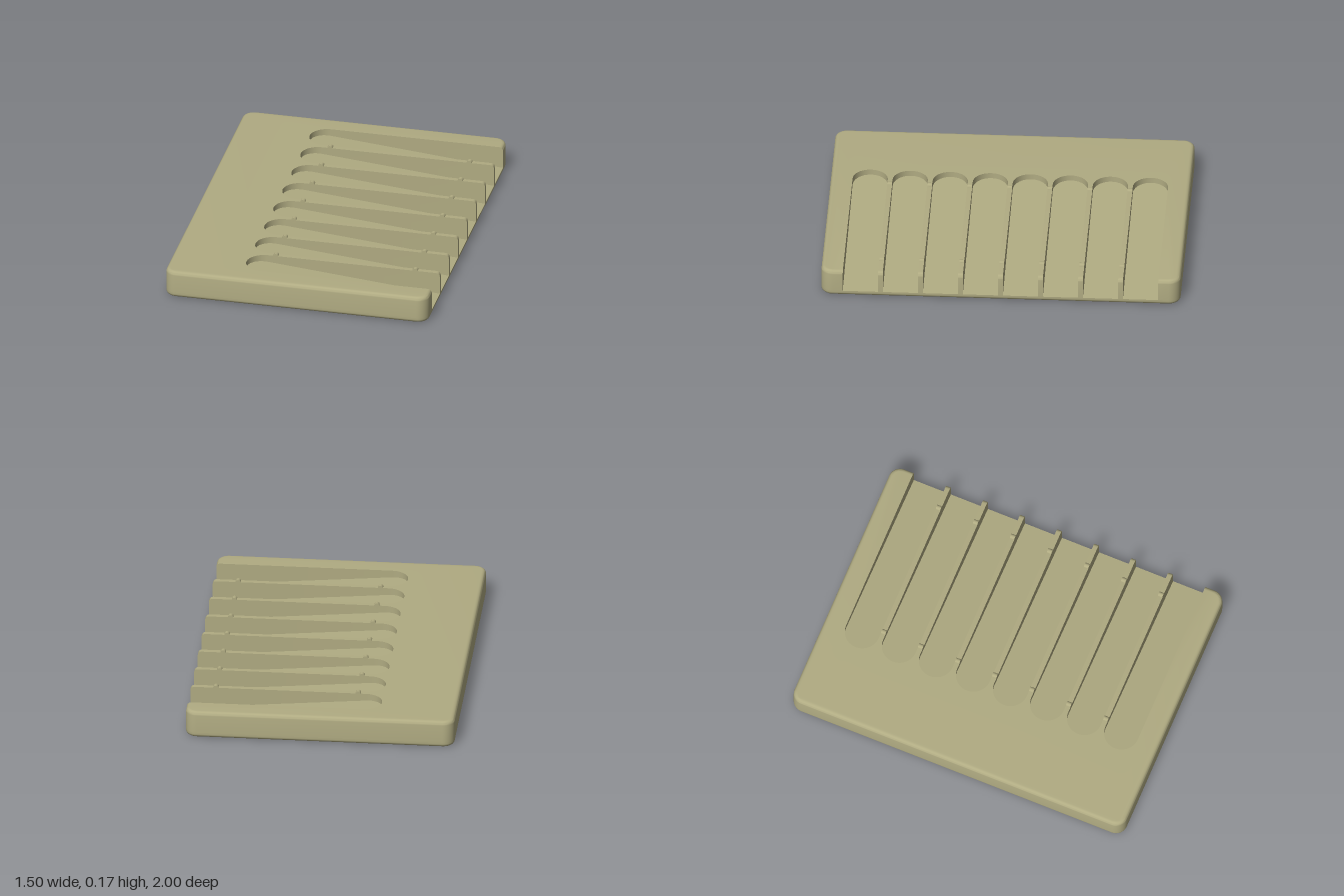
import * as THREE from 'three';
import { toCreasedNormals } from 'three/addons/utils/BufferGeometryUtils.js';

const HX = 0.75, HZ = 1, H = 0.157;       // half sizes and height of the slab
const CORNER = 0.065, FILLET = 0.022;     // plan corner radius, edge rounding
const SLOTS = 8, PITCH = 0.2229, SLOT_R = 0.098, SLOT_X = -0.232;
const LIP = 0.03, SLOPE = 0.0875;         // floor height at the open end, floor slope
const floorY = x => LIP + SLOPE * (HX - x);
const slotZ = i => (i - (SLOTS - 1) / 2) * PITCH;

const material = new THREE.MeshStandardMaterial({ color: 0xb0ab82 });

function arc(cx, cy, r, from, to, n) {
  return Array.from({ length: n + 1 }, (_, i) => {
    const a = (from + (to - from) * i / n) * Math.PI / 180;
    return new THREE.Vector2(cx + r * Math.cos(a), cy + r * Math.sin(a));
  });
}

// Outline of one slot, open on the +x side
function slotPoints(i, openX) {
  const c = slotZ(i);
  return [
    new THREE.Vector2(openX, c - SLOT_R),
    ...arc(SLOT_X, c, SLOT_R, 270, 90, 20),
    new THREE.Vector2(openX, c + SLOT_R),
  ];
}

// Rounded rectangle in plan, shrunk by inset, with or without the slots cut in
function outline(inset, slotted) {
  const r = CORNER - inset, x = HX - CORNER, z = HZ - CORNER;
  const pts = arc(x, -z, r, -90, 0, 8);
  if (slotted) for (let i = 0; i < SLOTS; i++) pts.push(...slotPoints(i, HX - inset));
  return [...pts, ...arc(x, z, r, 0, 90, 8), ...arc(-x, z, r, 90, 180, 8), ...arc(-x, -z, r, 180, 270, 8)];
}

// Joins stacked outlines with walls and closes the bottom and/or top
function loft(layers, capBottom, capTop) {
  const pos = [], index = [], n = layers[0].pts.length;
  for (const { pts, y } of layers) for (const p of pts) pos.push(p.x, y, -p.y);
  for (let k = 0; k < layers.length - 1; k++) {
    for (let i = 0; i < n; i++) {
      const j = (i + 1) % n, a = k * n, b = a + n;
      index.push(a + i, a + j, b + j, a + i, b + j, b + i);
    }
  }
  const cap = k => THREE.ShapeUtils.triangulateShape(layers[k].pts, []).map(f => f.map(v => v + k * n));
  if (capBottom) for (const [a, b, c] of cap(0)) index.push(a, c, b);
  if (capTop) for (const f of cap(layers.length - 1)) index.push(...f);
  const geo = new THREE.BufferGeometry();
  geo.setAttribute('position', new THREE.Float32BufferAttribute(pos, 3));
  geo.setIndex(index);
  return toCreasedNormals(geo, Math.PI / 5);
}

export function createModel() {
  const group = new THREE.Group();
  const add = (name, geo) => {
    const mesh = new THREE.Mesh(geo, material);
    mesh.name = name;
    group.add(mesh);
    return mesh;
  };

  // Quarter-round steps: inset and distance from the flat face
  const steps = Array.from({ length: 6 }, (_, i) => {
    const a = i / 5 * Math.PI / 2;
    return { inset: FILLET * (1 - Math.sin(a)), rise: FILLET * (1 - Math.cos(a)) };
  });

  // Solid base below the slots
  add('base', loft([
    ...steps.map(s => ({ pts: outline(s.inset, false), y: s.rise })),
    { pts: outline(0, false), y: LIP },
  ], true, false));

  // Slotted upper part with rounded outer edge
  add('slottedBody', loft([
    { pts: outline(0, true), y: LIP },
    ...[...steps].reverse().map(s => ({ pts: outline(s.inset, true), y: H - s.rise })),
  ], false, true));

  // Sloping drain floors
  for (let i = 0; i < SLOTS; i++) {
    const geo = new THREE.ShapeGeometry(new THREE.Shape(slotPoints(i, HX).reverse()));
    geo.rotateX(-Math.PI / 2);
    const p = geo.attributes.position;
    for (let v = 0; v < p.count; v++) p.setY(v, floorY(p.getX(v)));
    geo.computeVertexNormals();
    add('slotFloor', geo);
  }

  // Small grip bumps across each rib
  const bump = new THREE.CylinderGeometry(0.015, 0.015, PITCH - 2 * SLOT_R, 16);
  bump.rotateX(Math.PI / 2);
  for (let i = 0; i < SLOTS - 1; i++) {
    for (const x of [-0.187, 0.608]) {
      add('gripBump', bump).position.set(x, H - 0.003, slotZ(i) + PITCH / 2);
    }
  }
  return group;
}
